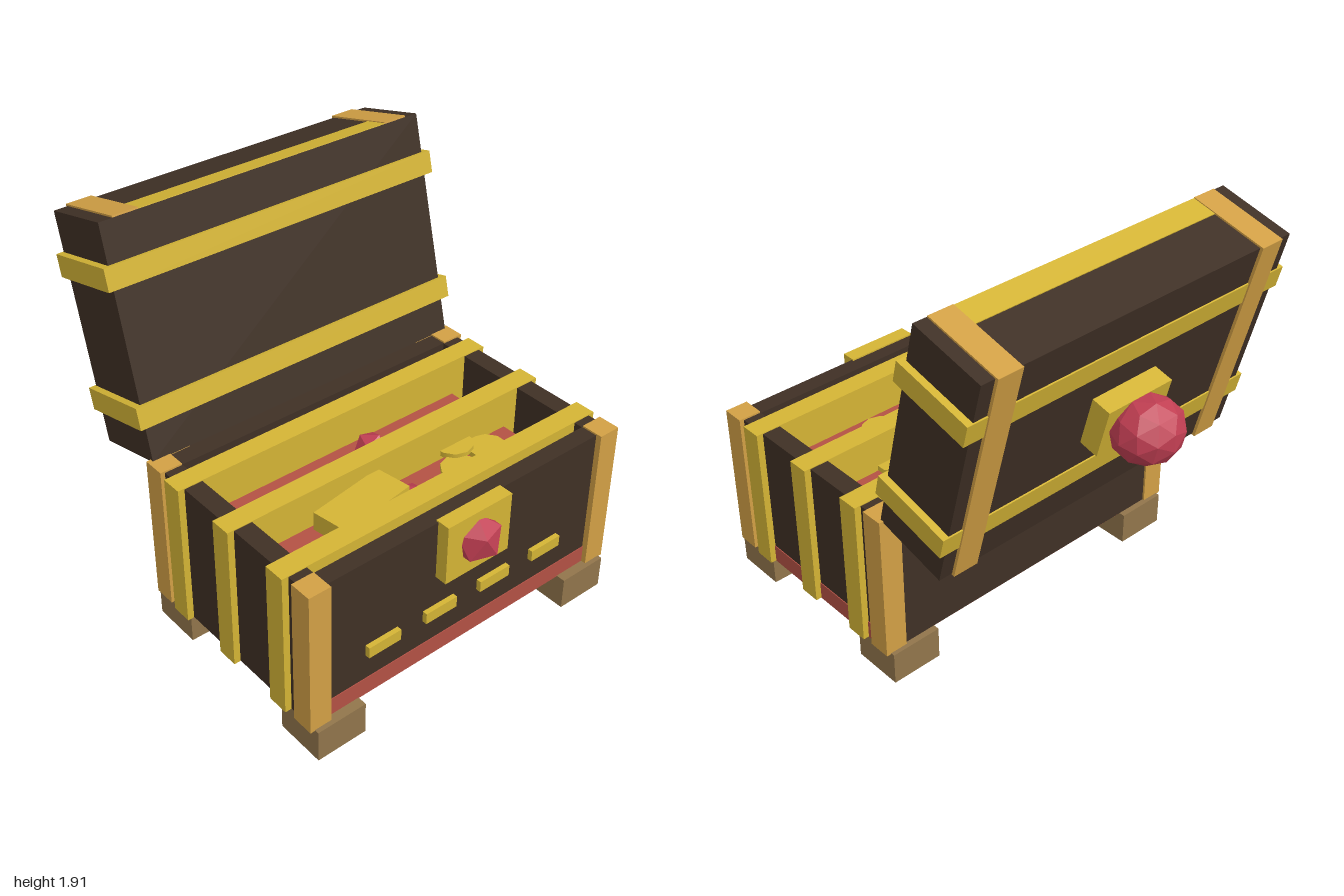
import * as THREE from 'three';

const mat = (name, color) => {
  const m = new THREE.MeshStandardMaterial({ color });
  m.name = name;
  return m;
};

export function createModel() {
  const darkWood = mat('darkWood', 0x3f3025);
  const gold = mat('gold', 0xd4b435);
  const tan = mat('tanWood', 0xd2a045);
  const legWood = mat('legWood', 0x91754b);
  const red = mat('redLining', 0xb35144);
  const ruby = mat('ruby', 0xc03e52);
  ruby.flatShading = true;

  const model = new THREE.Group();
  model.name = 'treasureChest';
  const chest = new THREE.Group();
  chest.name = 'chestBase';
  const lid = new THREE.Group();
  lid.name = 'lid';
  model.add(chest, lid);

  const add = (parent, name, geometry, material, x = 0, y = 0, z = 0) => {
    const mesh = new THREE.Mesh(geometry, material);
    mesh.name = name;
    mesh.position.set(x, y, z);
    parent.add(mesh);
    return mesh;
  };
  // Box given by its limits on each axis
  const box = (parent, name, material, [x0, x1], [y0, y1], [z0, z1]) =>
    add(parent, name, new THREE.BoxGeometry(x1 - x0, y1 - y0, z1 - z0), material,
      (x0 + x1) / 2, (y0 + y1) / 2, (z0 + z1) / 2);

  // Floor, walls and lining
  box(chest, 'floor', red, [-0.837, 0.844], [0.156, 0.245], [-0.197, 0.866]);
  box(chest, 'frontWall', darkWood, [-0.84, 0.84], [0.16, 0.872], [0.78, 0.862]);
  box(chest, 'backWall', darkWood, [-0.84, 0.84], [0.16, 0.872], [-0.2, -0.105]);
  for (const s of [-1, 1]) {
    const x = [0.75 * s, 0.84 * s].sort((a, b) => a - b);
    box(chest, 'sideWall', darkWood, x, [0.16, 0.872], [-0.105, 0.78]);
  }
  box(chest, 'treasureBed', red, [-0.68, 0.68], [0.24, 0.69], [0, 0.7]);

  // Corner posts and legs
  for (const s of [-1, 1]) {
    const px = [0.753 * s, 0.862 * s].sort((a, b) => a - b);
    const lx = [0.59 * s, 0.84 * s].sort((a, b) => a - b);
    box(chest, 'frontPost', tan, px, [0.155, 0.88], [0.783, 0.89]);
    box(chest, 'backPost', tan, px, [0.155, 0.88], [-0.21, -0.103]);
    box(chest, 'frontLeg', legWood, lx, [0, 0.16], [0.67, 0.912]);
    box(chest, 'backLeg', legWood, lx, [0, 0.16], [-0.23, 0.015]);
  }

  // Gold bands running right through the chest
  for (const z of [-0.01, 0.335, 0.687])
    box(chest, 'goldBand', gold, [-0.872, 0.872], [0.158, 0.876], [z - 0.051, z + 0.051]);

  // Front studs, lock plate and gem
  for (const x of [-0.467, -0.155, 0.155, 0.467])
    box(chest, 'stud', gold, [x - 0.086, x + 0.086], [0.375, 0.43], [0.85, 0.886]);
  box(chest, 'lockPlate', gold, [-0.178, 0.178], [0.585, 0.879], [0.85, 0.922]);
  const lockGem = add(chest, 'lockGem', new THREE.IcosahedronGeometry(0.117), ruby, 0, 0.733, 0.9);
  lockGem.rotation.z = 0.55;

  // Loose treasure
  box(chest, 'goldBar', gold, [-0.51, -0.11], [0.69, 0.78], [0.2, 0.37]);
  const bar = add(chest, 'goldBar', new THREE.BoxGeometry(0.4, 0.09, 0.18), gold, -0.265, 0.765, 0.495);
  bar.rotation.y = 0.15;
  [[0.4, 0.27], [0.37, 0.375], [0.29, 0.51], [0.49, 0.475]].forEach(([x, z], i) =>
    add(chest, 'coin', new THREE.CylinderGeometry(0.092, 0.092, 0.025, 10), gold, x, 0.705 + (i === 1 ? 0.02 : 0), z));
  for (const [x, z] of [[0.08, 0.15], [-0.03, 0.54]]) {
    const gem = add(chest, 'looseGem', new THREE.IcosahedronGeometry(0.084), ruby, x, 0.71, z);
    gem.rotation.set(0.4, 0.3, 0.2);
  }

  // Open lid, tilted back
  lid.position.set(0, 1.345, -0.5);
  lid.rotation.x = -14 * Math.PI / 180;
  box(lid, 'lidBody', darkWood, [-0.84, 0.84], [-0.53, 0.53], [-0.186, 0.186]);
  for (const y of [-0.314, 0.299])
    box(lid, 'lidBand', gold, [-0.872, 0.872], [y - 0.051, y + 0.051], [-0.193, 0.206]);
  for (const x of [-0.713, 0.713])
    box(lid, 'lidStrap', tan, [x - 0.061, x + 0.061], [-0.538, 0.538], [-0.2, 0.184]);
  box(lid, 'lidEdgeStrip', gold, [-0.652, 0.652], [0.528, 0.534], [0.065, 0.184]);

  // Plate and large gem on the outside of the lid
  box(lid, 'lidPlate', gold, [-0.178, 0.178], [-0.12, 0.12], [-0.28, -0.18]);
  const lidGem = add(lid, 'lidGem', new THREE.IcosahedronGeometry(0.15, 1), ruby, 0, 0.003, -0.355);
  lidGem.scale.set(1.11, 0.95, 1);

  return model;
}
